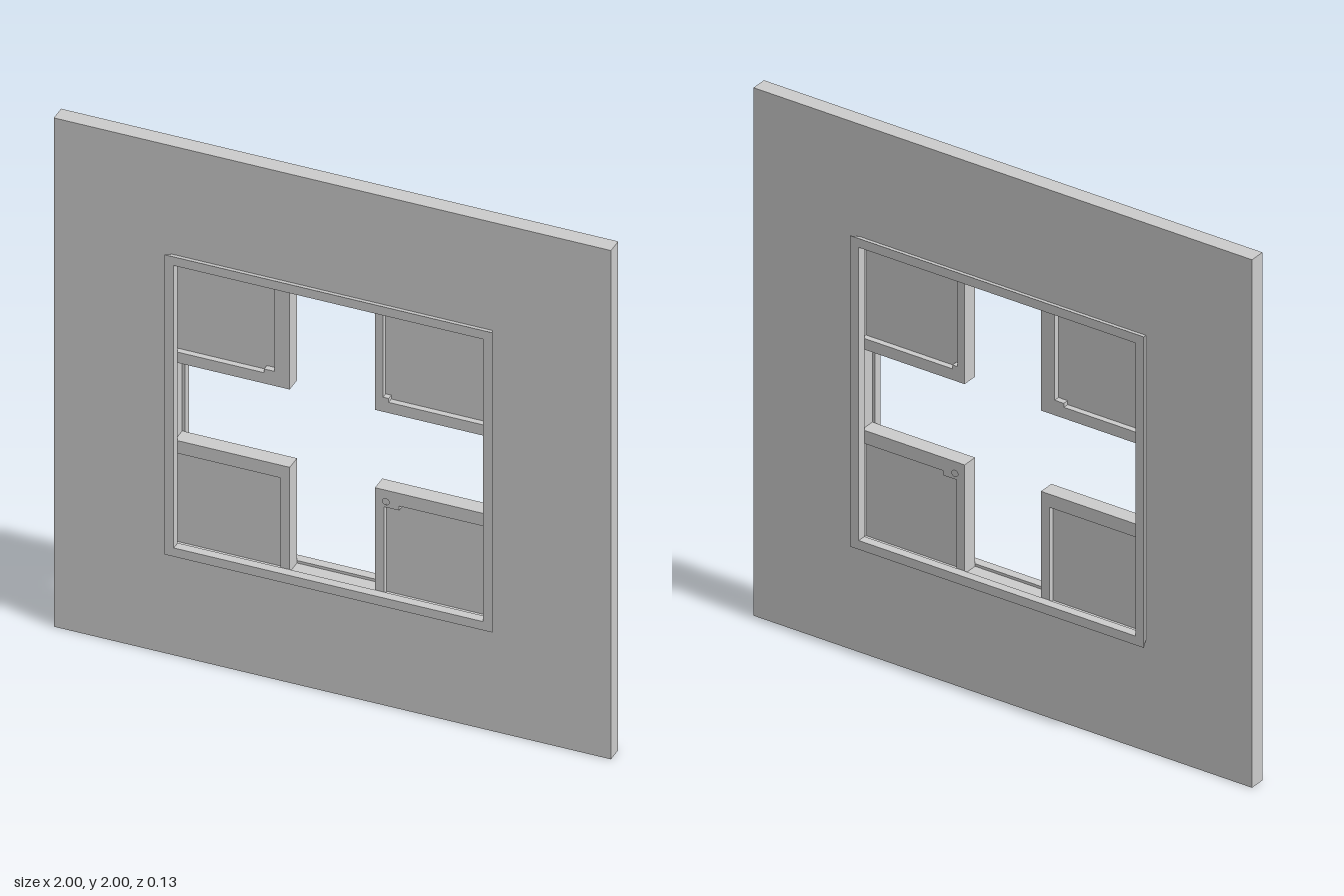
import * as THREE from 'three';

const material = new THREE.MeshStandardMaterial({ color: 0xcccccc, flatShading: true });

const WALL = 0.03;    // half thickness of wall and corner panels
const SLOT = 0.565;   // half width of the wall opening
const INNER = 0.555;  // half width of the frame opening
const GAP = 0.153;    // half width of the cross-shaped gap
const PANE = 0.008;   // half thickness of the recessed panes

function polygon(points, Type = THREE.Shape) {
  return new Type(points.map(([x, y]) => new THREE.Vector2(x, y)));
}

function square(h, Type) {
  return polygon([[-h, -h], [h, -h], [h, h], [-h, h]], Type);
}

// Extrudes a shape between two z positions
function slab(name, shape, z0, z1) {
  const geometry = new THREE.ExtrudeGeometry(shape, { depth: z1 - z0, bevelEnabled: false, curveSegments: 8 });
  geometry.translate(0, 0, z0);
  const mesh = new THREE.Mesh(geometry, material);
  mesh.name = name;
  return mesh;
}

// Square trim ring whose outer side flares away from the wall
function trimFrame(name) {
  const profile = [[INNER, WALL], [0.575, WALL], [0.589, 0.063], [INNER, 0.063], [INNER, WALL]]
    .map(([r, z]) => new THREE.Vector2(r * Math.SQRT2, z));
  const geometry = new THREE.LatheGeometry(profile, 4, Math.PI / 4).rotateX(Math.PI / 2);
  const mesh = new THREE.Mesh(geometry, material);
  mesh.name = name;
  return mesh;
}

// Corner panel: a thin pane with an L-shaped border on both faces.
// edge holds the border's inner outline, from the vertical to the horizontal arm.
function cornerPanel({ name, sx, sy, edge, hole }) {
  const group = new THREE.Group();
  group.name = name;
  const place = ([x, y]) => [sx * x, sy * y];

  const pane = polygon([[GAP, GAP], [SLOT, GAP], [SLOT, SLOT], [GAP, SLOT]].map(place));
  group.add(slab('pane', pane, -PANE, PANE));

  const outline = [[GAP, SLOT], [GAP, GAP], [SLOT, GAP], ...edge.slice().reverse()];
  const border = polygon(outline.map(place));
  if (hole) {
    const [x, y] = place(hole);
    border.holes.push(new THREE.Path().absarc(x, y, 0.012, 0, Math.PI * 2, true));
  }
  group.add(slab('frontBorder', border, PANE, WALL));
  group.add(slab('backBorder', border, -WALL, -PANE));
  return group;
}

const panels = [
  { name: 'upperRightPanel', sx: -1, sy: 1,
    edge: [[0.208, SLOT], [0.208, 0.21], [0.245, 0.21], [0.245, 0.195], [SLOT, 0.195]] },
  { name: 'upperLeftPanel', sx: 1, sy: 1,
    edge: [[0.182, SLOT], [0.182, 0.21], [0.202, 0.21], [0.202, 0.195], [SLOT, 0.195]] },
  { name: 'lowerRightPanel', sx: -1, sy: -1,
    edge: [[0.187, SLOT], [0.187, 0.203], [SLOT, 0.203]] },
  { name: 'lowerLeftPanel', sx: 1, sy: -1, hole: [0.192, 0.198],
    edge: [[0.185, SLOT], [0.185, 0.22], [0.24, 0.22], [0.24, 0.203], [SLOT, 0.203]] },
];

export function createModel() {
  const model = new THREE.Group();
  model.name = 'windowWall';

  // Wall with a square opening
  const wall = square(1);
  wall.holes.push(square(SLOT, THREE.Path));
  model.add(slab('wall', wall, -WALL, WALL));

  // Trim on both sides of the opening
  const backFrame = trimFrame('backFrame');
  backFrame.rotation.y = Math.PI;
  model.add(trimFrame('frontFrame'), backFrame);

  // Four panels leave a cross-shaped gap
  for (const panel of panels) model.add(cornerPanel(panel));

  for (const part of model.children) part.position.y = 1;
  return model;
}
